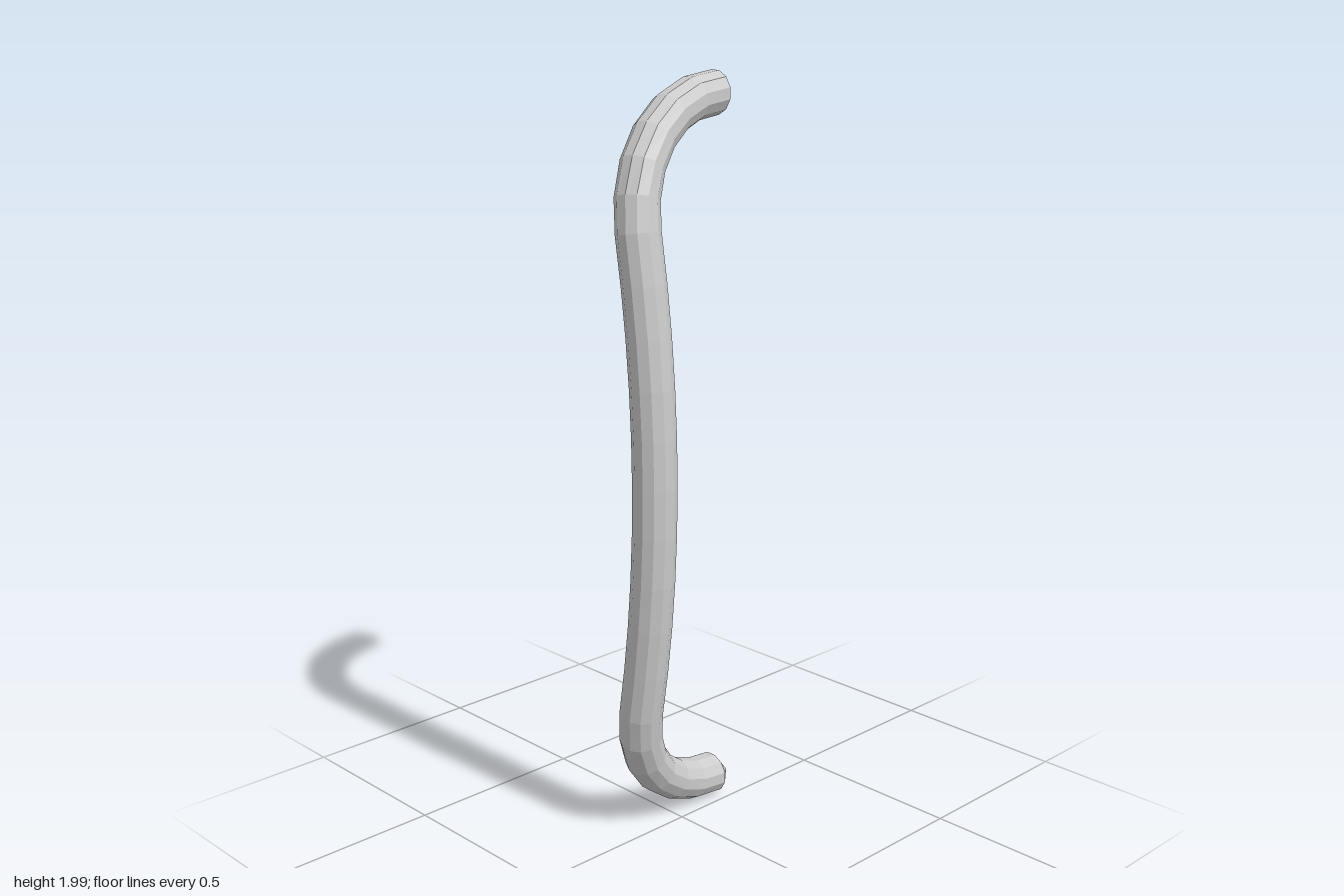
import * as THREE from 'three';

const R = 0.057, SIDES = 12, FRONT_Z = 0.154, END_Z = -0.175;
const TOP = 1.944, BOTTOM = 0.063, TOP_BEND = 1.63, BOTTOM_BEND = 0.37;

// Sideways bow of the grip as a function of height
const bow = (y) => 0.061 - ((y - 1.004) ** 2) / 7.2;
const point = (y, z) => new THREE.Vector3(bow(y), y, z);

// Centre line: lower return, upright grip, upper return
function centreLine() {
  const pts = [], bend = 6, grip = 10, depth = FRONT_Z - END_Z;
  for (let i = 0; i <= bend; i++) {
    const a = (i / bend) * Math.PI / 2;
    pts.push(point(BOTTOM_BEND - (BOTTOM_BEND - BOTTOM) * Math.cos(a), END_Z + depth * Math.sin(a)));
  }
  for (let i = 1; i < grip; i++) {
    pts.push(point(BOTTOM_BEND + (TOP_BEND - BOTTOM_BEND) * i / grip, FRONT_Z));
  }
  for (let i = 0; i <= bend; i++) {
    const a = (i / bend) * Math.PI / 2;
    pts.push(point(TOP_BEND + (TOP - TOP_BEND) * Math.sin(a), END_Z + depth * Math.cos(a)));
  }
  return pts;
}

// Twelve-sided ring square to the centre line
function ring(centre, tangent) {
  const u = new THREE.Vector3(1, 0, 0).addScaledVector(tangent, -tangent.x).normalize();
  const v = new THREE.Vector3().crossVectors(tangent, u);
  return Array.from({ length: SIDES }, (_, k) => {
    const a = ((k + 0.5) / SIDES) * Math.PI * 2;
    return centre.clone().addScaledVector(u, R * Math.cos(a)).addScaledVector(v, R * Math.sin(a));
  });
}

// Joins consecutive rings of equal size with triangles
function loft(rings) {
  const n = rings[0].length, index = [];
  for (let i = 0; i < rings.length - 1; i++) {
    for (let k = 0; k < n; k++) {
      const a = i * n + k, b = i * n + (k + 1) % n;
      index.push(a, b, b + n, a, b + n, a + n);
    }
  }
  const geometry = new THREE.BufferGeometry().setFromPoints(rings.flat());
  geometry.setIndex(index);
  geometry.computeVertexNormals();
  return geometry;
}

export function createModel() {
  const group = new THREE.Group();
  group.name = 'pullHandle';
  const material = new THREE.MeshStandardMaterial({ color: 0xcccccc, flatShading: true });
  const add = (name, geometry) => {
    const mesh = new THREE.Mesh(geometry, material);
    mesh.name = name;
    group.add(mesh);
  };

  const pts = centreLine(), last = pts.length - 1;
  const rings = pts.map((p, i) => {
    const t = i === 0 || i === last
      ? new THREE.Vector3(0, 0, i === 0 ? 1 : -1)
      : pts[i + 1].clone().sub(pts[i - 1]).normalize();
    return ring(p, t);
  });
  add('handleBar', loft(rings));

  // Pointed upper end
  const apex = new THREE.Vector3(pts[last].x, TOP + 0.005, -0.205);
  add('upperTip', loft([rings[last], rings[last].map(() => apex.clone())]));

  // Lower end closes on a short ridge
  const ridge = rings[0].map((p) => new THREE.Vector3(
    pts[0].x + THREE.MathUtils.clamp(p.x - pts[0].x, -0.025, 0.025), BOTTOM + 0.005, -0.21));
  add('lowerTip', loft([ridge, rings[0]]));

  return group;
}
